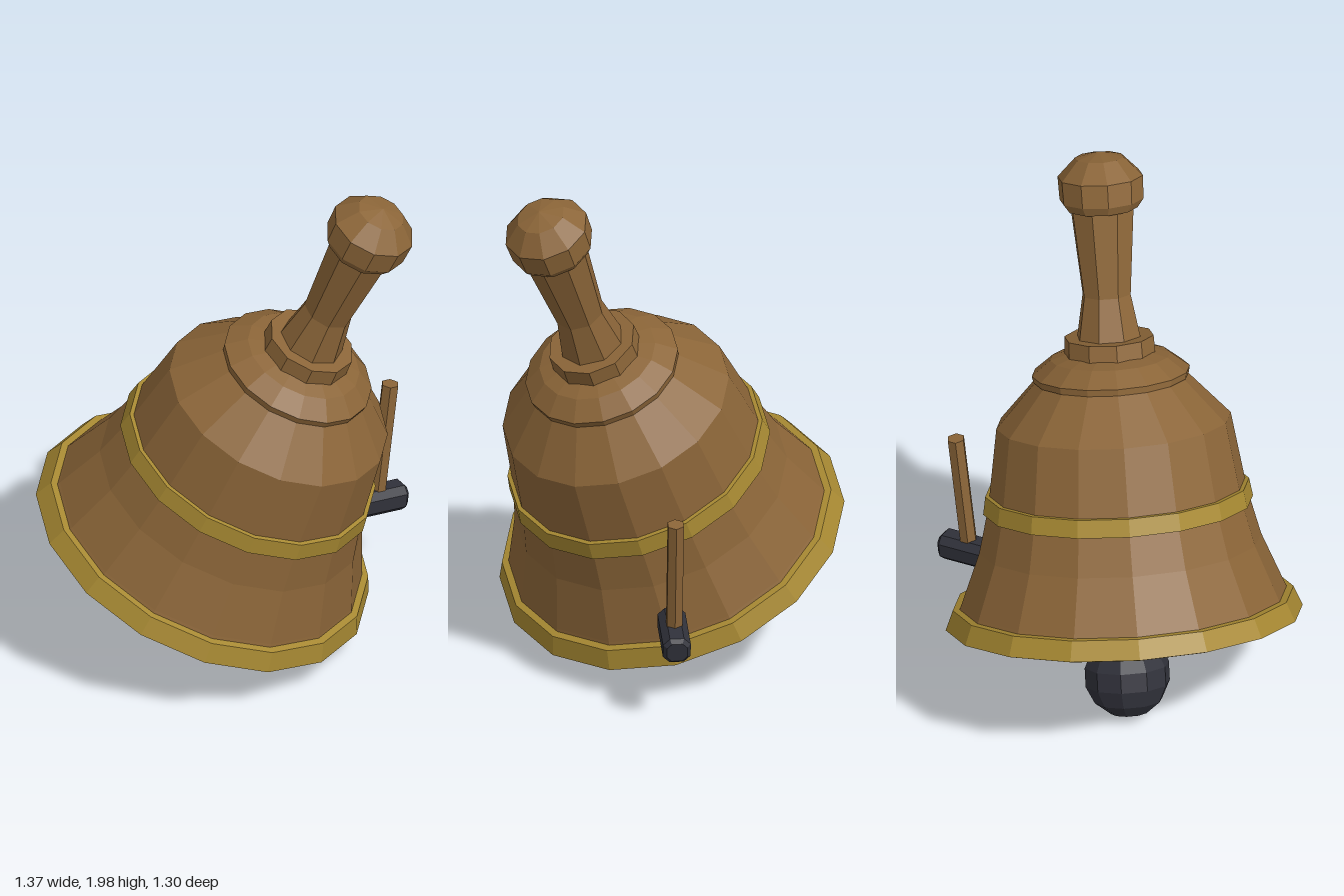
import * as THREE from 'three';

const mat = (name, color) => new THREE.MeshStandardMaterial({ name, color, flatShading: true });

export function createModel() {
  const bronze = mat('bronze', 0x8b6538);
  const gold = mat('gold', 0xa68832);
  const iron = mat('iron', 0x30313a);
  const hollow = mat('hollow', 0x1c1c0e);

  const model = new THREE.Group();
  model.name = 'handBell';

  const add = (parent, name, geometry, material, x = 0, y = 0, z = 0) => {
    const mesh = new THREE.Mesh(geometry, material);
    mesh.name = name;
    mesh.position.set(x, y, z);
    parent.add(mesh);
    return mesh;
  };
  // Turned part from [radius, height] pairs, bottom to top
  const lathe = (points, sides) =>
    new THREE.LatheGeometry(points.map(([r, y]) => new THREE.Vector2(r, y)), sides);

  // Leaning bell, with its mouth at the group's origin
  const bell = new THREE.Group();
  bell.name = 'bell';
  bell.position.set(-0.085, 0.36, 0);
  bell.rotation.set(THREE.MathUtils.degToRad(8), 0, THREE.MathUtils.degToRad(-22));
  model.add(bell);

  add(bell, 'bellBody', lathe([[0.62, 0.03], [0.595, 0.085], [0.517, 0.28], [0.475, 0.45],
    [0.43, 0.742], [0.275, 0.91]], 16), bronze);
  add(bell, 'rimBand', lathe([[0.635, -0.006], [0.655, 0], [0.625, 0.072], [0.59, 0.075]], 16), gold);
  add(bell, 'waistBand', lathe([[0.47, 0.422], [0.495, 0.424], [0.484, 0.49], [0.46, 0.492]], 16), gold);
  add(bell, 'shoulderCap', lathe([[0.26, 0.905], [0.285, 0.905], [0.29, 0.93], [0.22, 0.985], [0.15, 1.005]], 16), bronze);

  // Closed dark mouth
  add(bell, 'mouth', lathe([[0, -0.004], [0.637, -0.005]], 16), hollow);

  // Grip
  add(bell, 'collar', lathe([[0.168, 0.995], [0.165, 1.062], [0, 1.062]], 10), bronze);
  add(bell, 'handle', lathe([[0.122, 1.055], [0.092, 1.22], [0.122, 1.56]], 8), bronze);
  add(bell, 'knob', lathe([[0, 1.545], [0.132, 1.545], [0.155, 1.578], [0.158, 1.665],
    [0.09, 1.735], [0, 1.757]], 10), bronze);

  // Clapper
  add(bell, 'clapperRod', new THREE.CylinderGeometry(0.03, 0.03, 0.12, 8), iron, 0, -0.05, 0);
  add(bell, 'clapperBall', new THREE.SphereGeometry(0.16, 10, 7), iron, 0, -0.213, 0);

  // Small hammer resting against the bell
  const hammer = new THREE.Group();
  hammer.name = 'hammer';
  hammer.position.set(0.555, 0.34, -0.31);
  hammer.rotation.set(0, THREE.MathUtils.degToRad(31), THREE.MathUtils.degToRad(-7));
  model.add(hammer);

  // Head: chamfered square extruded with bevelled ends
  const h = 0.037, c = 0.017;
  const outline = new THREE.Shape([[h, c - h], [h, h - c], [h - c, h], [c - h, h],
    [-h, h - c], [-h, c - h], [c - h, -h], [h - c, -h]].map(([x, y]) => new THREE.Vector2(x, y)));
  const head = new THREE.ExtrudeGeometry(outline, {
    depth: 0.2, bevelEnabled: true, bevelSize: 0.014, bevelThickness: 0.015, bevelSegments: 1,
  });
  head.translate(0, 0, -0.1).rotateY(Math.PI / 2);
  add(hammer, 'hammerHead', head, iron);
  add(hammer, 'hammerHandle', new THREE.CylinderGeometry(0.033, 0.033, 0.49, 6)
    .rotateY(Math.PI / 6), bronze, 0, 0.245, 0);

  return model;
}
